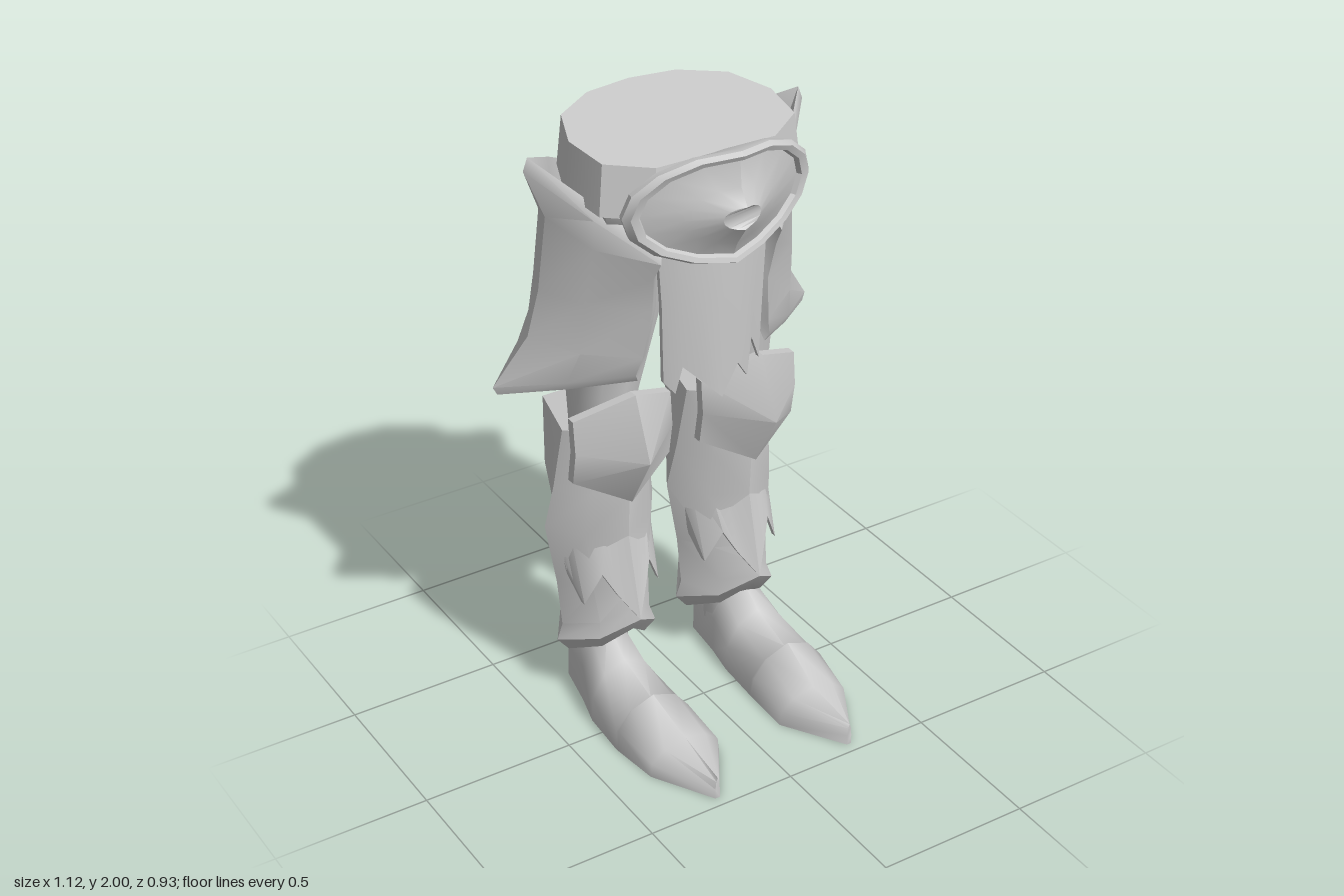
import * as THREE from 'three';
import { toCreasedNormals } from 'three/addons/utils/BufferGeometryUtils.js';

const grey = new THREE.MeshStandardMaterial({ color: 0xcccccc, side: THREE.DoubleSide });
const lerp = THREE.MathUtils.lerp;

// Closed solid through rings of [x, y, z]; ends are capped, faces turned outwards.
function loft(name, rings, side = 1, crease = 0.6) {
  const n = rings[0].length;
  const pos = rings.flat().flatMap(([x, y, z]) => [x * side, y, z]);
  let tris = [];
  for (let r = 0; r < rings.length - 1; r++) {
    for (let i = 0; i < n; i++) {
      const a = r * n + i, b = r * n + (i + 1) % n;
      tris.push([a, b, b + n], [a, b + n, a + n]);
    }
  }
  const last = (rings.length - 1) * n;
  for (let i = 0; i < n / 2 - 1; i++) {
    const j = n - 1 - i;
    for (const t of [[i, j, j - 1], [i, j - 1, i + 1]]) {
      if (new Set(t).size < 3) continue;
      tris.push(t, [last + t[0], last + t[2], last + t[1]]);
    }
  }
  const v = (i) => new THREE.Vector3().fromArray(pos, i * 3);
  const volume = tris.reduce((s, [a, b, c]) => s + v(a).dot(v(b).cross(v(c))), 0);
  if (volume < 0) tris = tris.map(([a, b, c]) => [a, c, b]);
  const geo = new THREE.BufferGeometry();
  geo.setAttribute('position', new THREE.Float32BufferAttribute(pos, 3));
  geo.setIndex(tris.flat());
  const mesh = new THREE.Mesh(toCreasedNormals(geo, crease), grey);
  mesh.name = name;
  return mesh;
}

// Plate with thickness: each row of points is closed by its own inner copy.
const plate = (name, rows, inner, side, crease) => loft(name,
  rows.map((row, r) => [...row, ...row.map((p) => inner(p, r)).reverse()]), side, crease);

// Elliptical ring lying flat at height y
const oval = (cx, y, cz, rx, rz, n = 10) => Array.from({ length: n }, (_, i) => {
  const a = (i / n) * Math.PI * 2;
  return [cx + rx * Math.sin(a), y, cz + rz * Math.cos(a)];
});

// Waist outline shared by the belt and the hips
const half = [[0.21, 0.08], [0.34, -0.01], [0.36, -0.17], [0.3, -0.32], [0.16, -0.405]];
const waist = [...half, [0, -0.425], ...half.map(([x, z]) => [-x, z]).reverse(), [0, 0.05]];
const waistRing = (s, yAt) => waist.map(([x, z]) => {
  const zz = -0.17 + (z + 0.17) * s;
  return [x * s, yAt(zz), zz];
});

// Oval buckle bowed round the waist, with a bevelled rim and a raised, creased face
function buckle() {
  // scale, depth offset, flattening towards the back, height scale, drop
  const ring = (s, dz, flat = 0, ys = s, drop = 0) => Array.from({ length: 16 }, (_, i) => {
    const a = (i / 16) * Math.PI * 2;
    const x = 0.315 * s * Math.sin(a), y = 0.182 * ys * Math.cos(a);
    const bow = 0.18 - 0.11 * Math.abs(x) / 0.315 + 0.1 * y;
    return [x, 1.82 + y - drop, lerp(bow, 0.045, flat) + dz];
  });
  const rings = [ring(0.8, 0, 1, 0.65), ring(0.98, -0.025), ring(1, 0), ring(0.95, 0.018),
    ring(0.87, 0.012), ring(0.84, -0.005), ring(0.5, 0.008, 0, 0.5, 0.02),
    ring(0.2, 0.045, 0, 0.2, 0.015)];
  return loft('beltBuckle', rings, 1, 0.5);
}

function loincloth() {
  const hem = [[-0.17, 1.24], [-0.14, 1.2], [-0.12, 1.29], [-0.06, 1.23], [0, 1.165],
    [0.06, 1.26], [0.1, 1.2], [0.12, 1.32], [0.16, 1.23]];
  const z = (x) => 0.11 - 0.06 * (x / 0.18) ** 2;
  const rows = [[1.78, 1.15], [1.5, 1.05]].map(([y, s]) => hem.map(([x]) => [x * s, y, z(x)]));
  rows.push(hem.map(([x, y]) => [x, y, z(x) - 0.008]));
  return plate('loincloth', rows, ([x, y, zz]) => [x, y, zz - 0.015], 1);
}

// Flared hip plate; its upper and lower rims are bevelled towards the inside
function hipPlate(side) {
  const rows = [
    [[0.205, 1.66, 0.1], [0.335, 1.77, -0.05], [0.475, 1.9, -0.2], [0.34, 1.82, -0.33], [0.21, 1.73, -0.46]],
    [[0.21, 1.6, 0.065], [0.34, 1.68, -0.05], [0.41, 1.74, -0.2], [0.36, 1.7, -0.33], [0.22, 1.65, -0.43]],
    [[0.2, 1.48, 0.04], [0.36, 1.5, -0.07], [0.43, 1.5, -0.22], [0.38, 1.49, -0.34], [0.22, 1.5, -0.425]],
    [[0.22, 1.32, 0.015], [0.37, 1.33, -0.09], [0.455, 1.34, -0.25], [0.39, 1.36, -0.36], [0.2, 1.38, -0.435]],
    [[0.235, 1.26, 0], [0.395, 1.22, -0.13], [0.56, 1.18, -0.285], [0.425, 1.26, -0.37], [0.2, 1.33, -0.45]],
  ];
  const lift = [0.04, 0, 0, 0, -0.025], shift = [0.015, 0.03, 0.03, 0.03, 0.012];
  return plate('hipPlate', rows, ([x, y, z], r) =>
    [x - shift[r], y + lift[r], -0.2 + (z + 0.2) * (1 - 4 * shift[r])], side, 0.7);
}

// Leg armour: ridged front, pointed sides, flat back; every zone has its own height
function greave(side) {
  // half width, front y z, side y z, back y z, back half width
  const rows = [
    [0.15, 1.03, -0.1, 1.01, -0.21, 0.98, -0.465, 0.075],
    [0.17, 0.8, -0.07, 0.8, -0.24, 0.77, -0.42, 0.1],
    [0.195, 0.65, -0.08, 0.65, -0.26, 0.62, -0.365, 0.1],
    [0.165, 0.46, -0.07, 0.44, -0.25, 0.48, -0.325, 0.09],
    [0.15, 0.41, -0.04, 0.27, -0.25, 0.34, -0.33, 0.08],
    [0.17, 0.37, -0.015, 0.215, -0.25, 0.29, -0.36, 0.09],
    [0.13, 0.31, -0.06, 0.165, -0.25, 0.24, -0.325, 0.07],
  ].map(([w, yf, zf, ys, zs, yb, zb, wb]) => {
    const right = [[0.6 * w, lerp(yf, ys, 0.55), lerp(zf, zs, 0.35)], [w, ys, zs], [wb, yb, zb]];
    const ring = [[0, yf, zf], ...right, ...right.map(([x, y, z]) => [-x, y, z]).reverse()];
    return ring.map(([x, y, z]) => [x + 0.222, y, z]);
  });
  return loft('greave', rows, side, 0.65);
}

// Jagged outer layer growing out of the front of the greave
function greaveFlap(side) {
  const mirror = (h) => [...h.map(([x, y, z]) => [-x, y, z]).reverse(), ...h.slice(1)];
  const rows = [
    mirror([[0, 0.66, -0.083], [0.06, 0.66, -0.125], [0.1, 0.66, -0.15], [0.14, 0.66, -0.205], [0.17, 0.66, -0.25]]),
    mirror([[0, 0.37, -0.015], [0.05, 0.45, -0.065], [0.085, 0.52, -0.1], [0.135, 0.41, -0.13], [0.15, 0.5, -0.21]]),
  ].map((row) => row.map(([x, y, z]) => [x + 0.222, y, z]));
  return plate('greaveFlap', rows, ([x, y, z]) => [x, y, z - 0.02], side, 0.6);
}

function kneeGuard(side) {
  const rows = [[1.1, -0.1, 1.18, -0.02], [0.99, -0.09, 0.98, 0.06], [0.88, -0.11, 0.79, -0.05]]
    .map(([ye, ze, yc, zc]) => [[0.055, ye, ze], [0.225, yc, zc], [0.395, ye, ze]]);
  return plate('kneeGuard', rows, ([x, y, z]) => [x, y, z - 0.03], side, 0.7);
}

function shoe(side) {
  // z, inner x, outer x, top height
  const rows = [
    [-0.325, 0.165, 0.315, 0.27], [-0.18, 0.15, 0.345, 0.28], [-0.07, 0.13, 0.375, 0.195],
    [0.09, 0.12, 0.385, 0.147], [0.105, 0.12, 0.385, 0.168], [0.27, 0.115, 0.365, 0.105],
    [0.465, 0.237, 0.253, 0.08],
  ].map(([z, a, b, h]) => [[0, 0], [0.02, 0.45], [0.2, 0.82], [0.5, 1], [0.8, 0.82], [0.98, 0.45], [1, 0]]
    .map(([u, t]) => [lerp(a, b, u), lerp(0.003, h, t), z]));
  return loft('shoe', rows, side, 1.2);
}

function leg(side) {
  const group = new THREE.Group();
  group.name = side > 0 ? 'leftLeg' : 'rightLeg';
  const thigh = [oval(0.185, 1.74, -0.18, 0.165, 0.21), oval(0.195, 1.55, -0.18, 0.16, 0.19),
    oval(0.235, 1.15, -0.2, 0.11, 0.13), oval(0.235, 0.95, -0.2, 0.1, 0.12)];
  const ankle = [oval(0.23, 0.45, -0.22, 0.09, 0.09), oval(0.23, 0.27, -0.24, 0.075, 0.08),
    oval(0.24, 0.1, -0.22, 0.085, 0.09)];
  group.add(loft('thigh', thigh, side, 0.8), loft('ankle', ankle, side, 0.8), greave(side),
    greaveFlap(side), kneeGuard(side), shoe(side), hipPlate(side));
  return group;
}

export function createModel() {
  const model = new THREE.Group();
  model.name = 'armouredLegs';
  const top = (z) => 1.955 - 0.1 * z;
  model.add(
    loft('belt', [waistRing(0.95, top), waistRing(1, (z) => top(z) - 0.155)]),
    loft('hips', [waistRing(0.95, (z) => top(z) - 0.13), waistRing(0.9, () => 1.76),
      waistRing(0.72, () => 1.68), waistRing(0.4, () => 1.62)], 1, 0.8),
    buckle(), loincloth(), leg(1), leg(-1),
  );
  return model;
}
